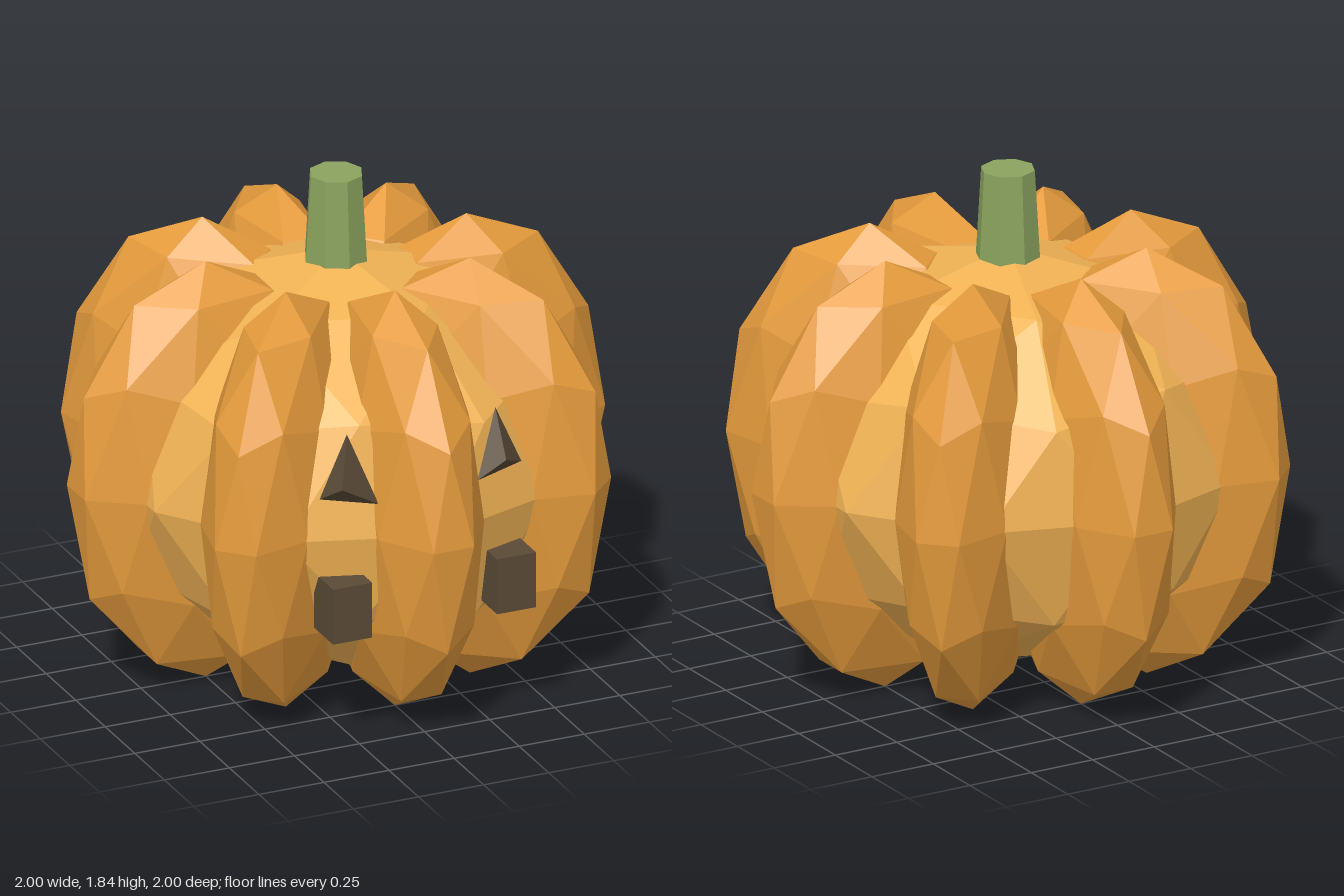
import * as THREE from 'three';
import { ConvexGeometry } from 'three/addons/geometries/ConvexGeometry.js';

const MID = 0.795;

const flat = (color) => new THREE.MeshStandardMaterial({ color, flatShading: true });

// Faceted ball with a vertex at each pole, stretched along the three axes
function facetedBall(rx, ry, rz) {
  const g = new THREE.IcosahedronGeometry(1, 1);
  g.rotateZ(Math.atan2(1, (1 + Math.sqrt(5)) / 2) * -1);
  g.scale(rx, ry, rz);
  return g;
}

export function createModel() {
  const model = new THREE.Group();
  const skin = flat(0xe59b3c);
  const flesh = flat(0xf0b254);
  const green = flat(0x8aa35e);
  const dark = flat(0x5a4a36);

  const add = (name, geometry, material, parent = model) => {
    const mesh = new THREE.Mesh(geometry, material);
    mesh.name = name;
    parent.add(mesh);
    return mesh;
  };

  // Inner body showing between the ribs
  add('body', facetedBall(0.86, 0.755, 0.86), flesh).position.y = MID;

  // Eight ribs around the body
  const ribs = new THREE.Group();
  ribs.name = 'ribs';
  model.add(ribs);
  const ribGeometry = facetedBall(0.525, MID, 0.25).translate(0.5, MID, 0);
  for (let i = 0; i < 8; i++) {
    add('rib', ribGeometry, skin, ribs).rotation.y = (i * Math.PI) / 4;
  }

  // Eight-sided tapering stem
  add('stem', new THREE.CylinderGeometry(0.097, 0.118, 0.36, 8), green).position.y = 1.66;

  // Eyes: small tilted pyramids sunk into the body
  const eye = (name, points) =>
    add(name, new ConvexGeometry(points.map((p) => new THREE.Vector3(...p))), dark);
  eye('leftEye', [[0.285, 1.18, 0.72], [0.28, 1.02, 0.825], [0.19, 0.94, 0.78], [0.39, 0.95, 0.71], [0.29, 0.95, 0.62]]);
  eye('rightEye', [[-0.285, 1.18, 0.72], [-0.35, 1.02, 0.825], [-0.39, 0.95, 0.72], [-0.19, 0.92, 0.78], [-0.29, 0.95, 0.62]]);

  // Block teeth
  for (const [name, side] of [['leftTooth', 1], ['rightTooth', -1]]) {
    add(name, new THREE.BoxGeometry(0.15, 0.21, 0.16), dark).position.set(side * 0.315, 0.545, 0.755);
  }

  return model;
}
